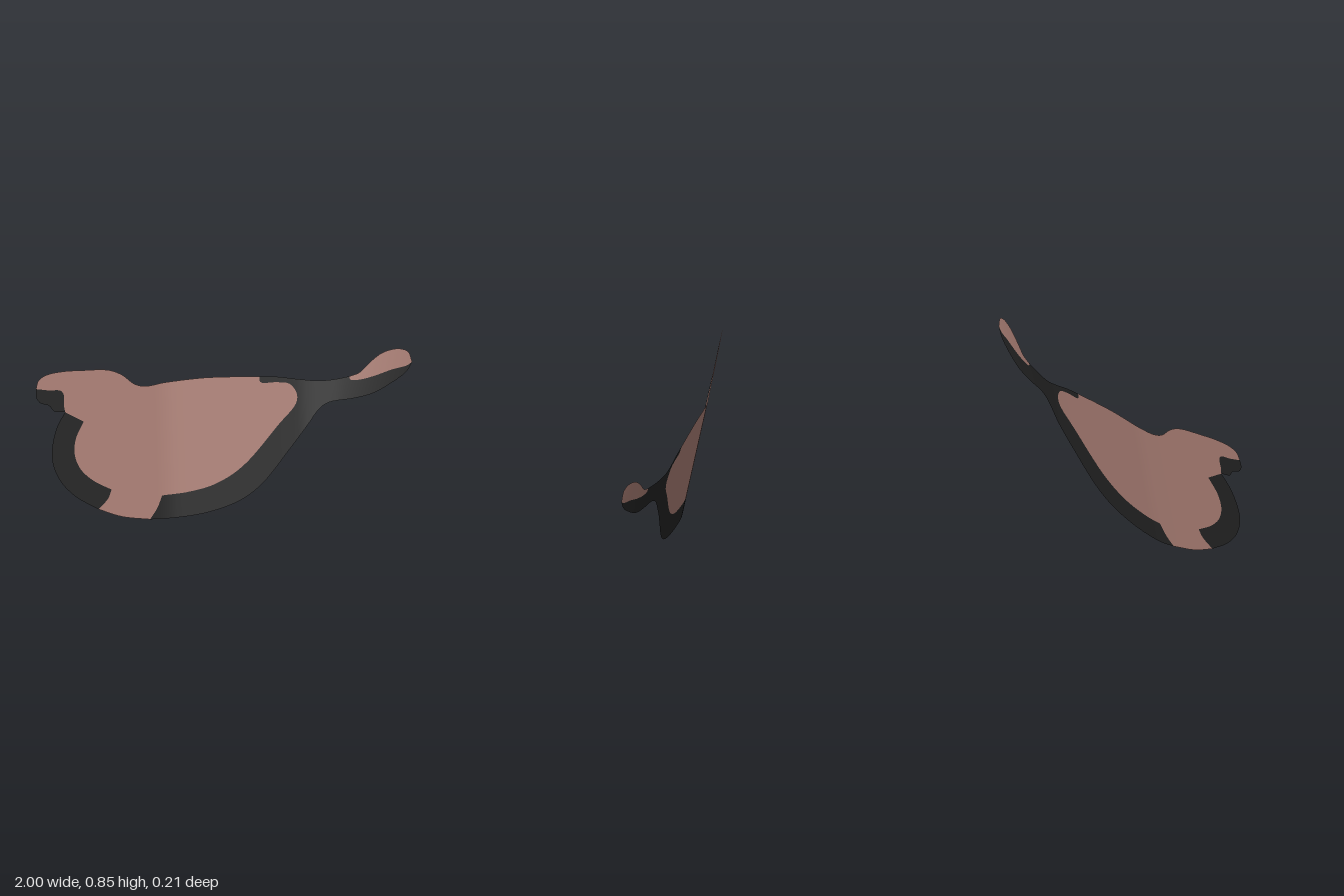
import * as THREE from 'three';

// Smooth run through a few [x, y] points, returned as Vector2 samples
function run(...pts) {
  const curve = new THREE.CatmullRomCurve3(pts.map(([x, y]) => new THREE.Vector3(x, y, 0)), false, 'centripetal');
  return curve.getPoints((pts.length - 1) * 6).map(p => new THREE.Vector2(p.x, p.y));
}
const back = r => [...r].reverse();

// Sheet surface: a leaning plane whose two ends bend forward
const ramp = t => (t + Math.sqrt(t * t + 0.0009)) / 2;
const depth = (x, y) => 0.04 - 0.2 * y + 0.19 * (ramp(-0.3 - x) + ramp(x - 0.44))
  + 0.4 * Math.max(0, x - 0.6) * (y - 0.75);

// Keep the part of a convex polygon where side * (x - cut) >= 0
function clip(poly, cut, side) {
  const out = [];
  poly.forEach((a, i) => {
    const b = poly[(i + 1) % poly.length];
    const da = side * (a.x - cut), db = side * (b.x - cut);
    if (da >= 0) out.push(a);
    if ((da > 0 && db < 0) || (da < 0 && db > 0)) out.push(a.clone().lerp(b, da / (da - db)));
  });
  return out;
}

// Region bounded by runs, cut into narrow upright slices and laid on the sheet
function panel(name, material, ...runs) {
  let outline = runs.flat().filter((p, i, all) => p.distanceTo(all[(i + 1) % all.length]) > 1e-5);
  if (THREE.ShapeUtils.isClockWise(outline)) outline = outline.reverse();
  const position = [], normal = [], step = 0.05, e = 0.001;
  for (const face of THREE.ShapeUtils.triangulateShape(outline, [])) {
    const tri = face.map(i => outline[i]);
    const xs = tri.map(p => p.x);
    for (let k = Math.floor(Math.min(...xs) / step); k * step < Math.max(...xs); k++) {
      const poly = clip(clip(tri, k * step, 1), (k + 1) * step, -1);
      for (let i = 1; i + 1 < poly.length; i++) {
        for (const { x, y } of [poly[0], poly[i], poly[i + 1]]) {
          position.push(x, y, depth(x, y));
          const n = new THREE.Vector3(
            (depth(x - e, y) - depth(x + e, y)) / (2 * e),
            (depth(x, y - e) - depth(x, y + e)) / (2 * e), 1).normalize();
          normal.push(n.x, n.y, n.z);
        }
      }
    }
  }
  const geometry = new THREE.BufferGeometry();
  geometry.setAttribute('position', new THREE.Float32BufferAttribute(position, 3));
  geometry.setAttribute('normal', new THREE.Float32BufferAttribute(normal, 3));
  const mesh = new THREE.Mesh(geometry, material);
  mesh.name = name;
  return mesh;
}

export function createModel() {
  const pink = new THREE.MeshStandardMaterial({ color: 0xb08379, side: THREE.DoubleSide });
  pink.name = 'dusty pink';
  const black = new THREE.MeshStandardMaterial({ color: 0x252525, side: THREE.DoubleSide });
  black.name = 'soft black';

  // Outer edges
  const topEdge = run([-1, .733], [-.985, .775], [-.94, .8], [-.85, .81], [-.75, .807], [-.6, .795],
    [-.53, .765], [-.46, .71], [-.4, .695], [-.3, .705], [-.1, .72], [.05, .72], [.205, .715]);
  const neckTop = run([.205, .715], [.3, .71], [.4, .695], [.5, .685], [.58, .69], [.675, .708]);
  const tipTop = run([.675, .708], [.73, .73], [.78, .78], [.85, .835], [.93, .857], [.98, .842], [1, .787]);
  const lowerRight = run([-.4, .008], [-.3, .005], [-.1, .025], [.08, .08], [.2, .16], [.35, .33], [.45, .453],
    [.52, .545], [.57, .575], [.7, .595], [.8, .622], [.9, .68], [.97, .735], [1, .787]);
  const bottomEdge = run([-.4, .008], [-.55, .035], [-.68, .085]);
  const lowerLeft = run([-.68, .085], [-.8, .16], [-.88, .245], [-.92, .34], [-.92, .43], [-.89, .53], [-.845, .6]);
  const beakEdge = run([-.845, .6], [-.905, .61], [-.93, .64], [-.98, .66], [-1, .69], [-1, .733]);

  // Inner edges between the two colours
  const beakLine = run([-.845, .6], [-.85, .635], [-.85, .69], [-.865, .712], [-.93, .72], [-1, .733]);
  const leftInner = [...run([-.845, .6], [-.745, .543]),
    ...run([-.745, .543], [-.79, .46], [-.8, .38], [-.77, .3], [-.7, .233], [-.605, .18]),
    ...run([-.605, .18], [-.625, .135], [-.68, .085])];
  const rightInner = [...run([-.4, .008], [-.36, .06], [-.33, .125]),
    ...run([-.33, .125], [-.2, .135], [-.05, .17], [.1, .255], [.3, .465], [.395, .57], [.4, .62], [.365, .67],
      [.3, .682], [.21, .686], [.205, .715])];
  const tipLine = run([.675, .708], [.68, .692], [.72, .69], [.8, .71], [.9, .747], [.97, .767], [1, .787]);

  const model = new THREE.Group();
  model.name = 'curvedSheet';
  model.add(
    panel('body', pink, topEdge, back(rightInner), bottomEdge, back(leftInner), beakLine),
    panel('tailTip', pink, tipTop, back(tipLine)),
    panel('beak', black, beakEdge, back(beakLine)),
    panel('leftRim', black, lowerLeft, leftInner),
    panel('rightRimAndTail', black, lowerRight, back(tipLine), back(neckTop), back(rightInner)),
  );
  return model;
}
